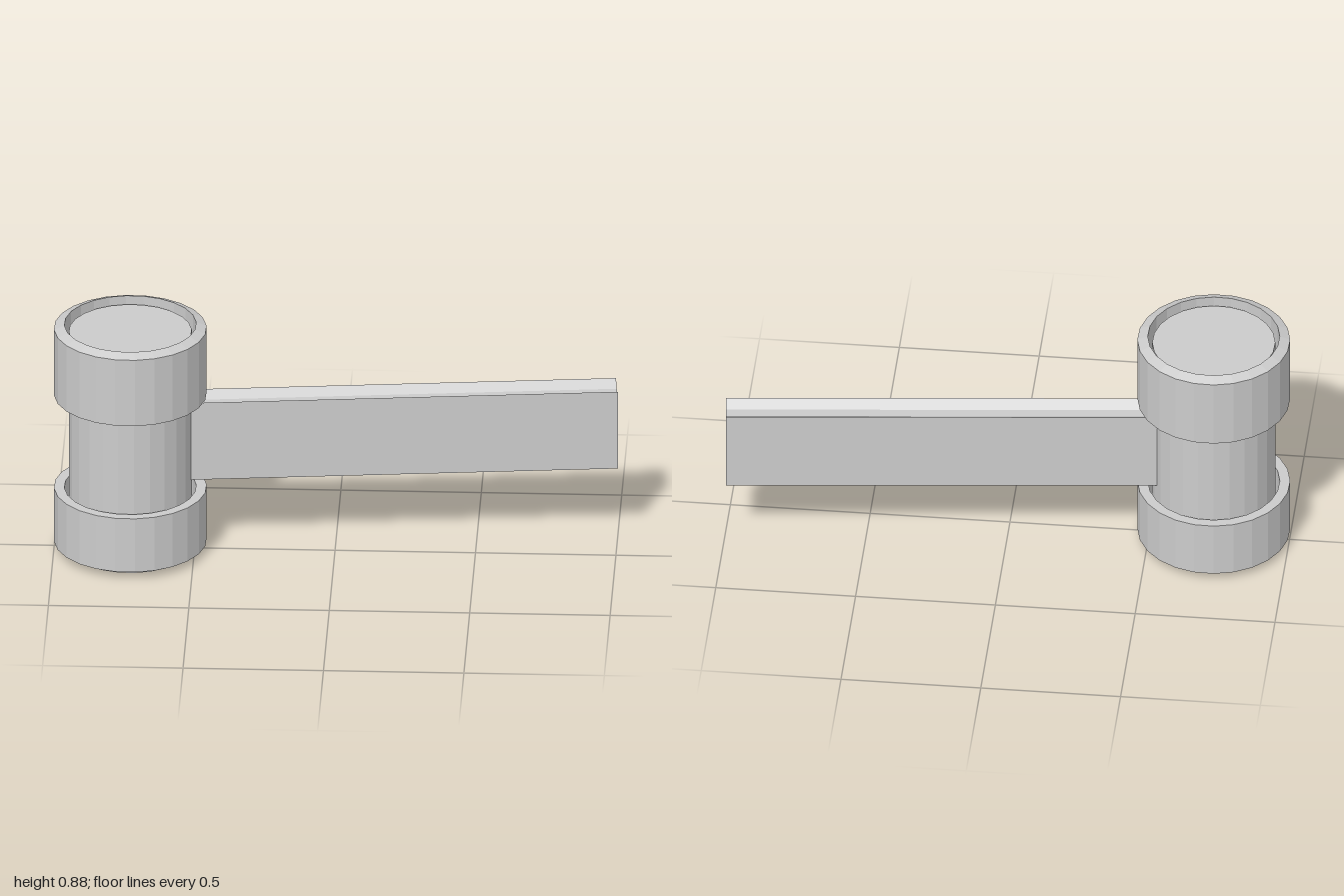
import * as THREE from 'three';

const SIDES = 24;

export function createModel() {
  const model = new THREE.Group();
  model.name = 'mallet';
  const material = new THREE.MeshStandardMaterial({ color: 0xcccccc, flatShading: true });

  const add = (name, geometry) => {
    const mesh = new THREE.Mesh(geometry, material);
    mesh.name = name;
    model.add(mesh);
    return mesh;
  };

  // Central core, slightly recessed below the upper band's rim
  const coreHeight = 0.85;
  add('headCore', new THREE.CylinderGeometry(0.219, 0.219, coreHeight, SIDES))
    .position.y = coreHeight / 2;

  // Loose bands around the core, with a narrow open gap
  const inner = 0.235, outer = 0.272;
  const band = (name, bottom, outerTop, innerTop) => {
    const profile = [
      [inner, bottom], [outer, bottom], [outer, outerTop], [inner, innerTop], [inner, bottom],
    ].map(([r, y]) => new THREE.Vector2(r, y));
    add(name, new THREE.LatheGeometry(profile, SIDES));
  };
  band('lowerBand', 0.028, 0.238, 0.238);
  band('upperBand', 0.603, 0.862, 0.877);

  // Handle bar with a shallow groove along its top and bottom edges
  const start = 0.15, end = 1.736, front = 0.036;
  const low = 0.274, high = 0.576, groove = 0.024;
  const section = new THREE.Shape([
    [0, low], [0.037, low + groove], [0.076, low + groove], [0.114, low],
    [0.114, high], [0.076, high - groove], [0.037, high - groove], [0, high],
  ].map(([depth, y]) => new THREE.Vector2(depth - front, y)));
  const bar = new THREE.ExtrudeGeometry(section, { depth: end - start, bevelEnabled: false });
  bar.rotateY(Math.PI / 2).translate(start, 0, 0);
  add('handle', bar);

  // The whole tool is turned slightly about the head's axis
  model.rotation.y = THREE.MathUtils.degToRad(5.9);
  model.position.x = -0.729;

  const root = new THREE.Group();
  root.add(model);
  return root;
}
